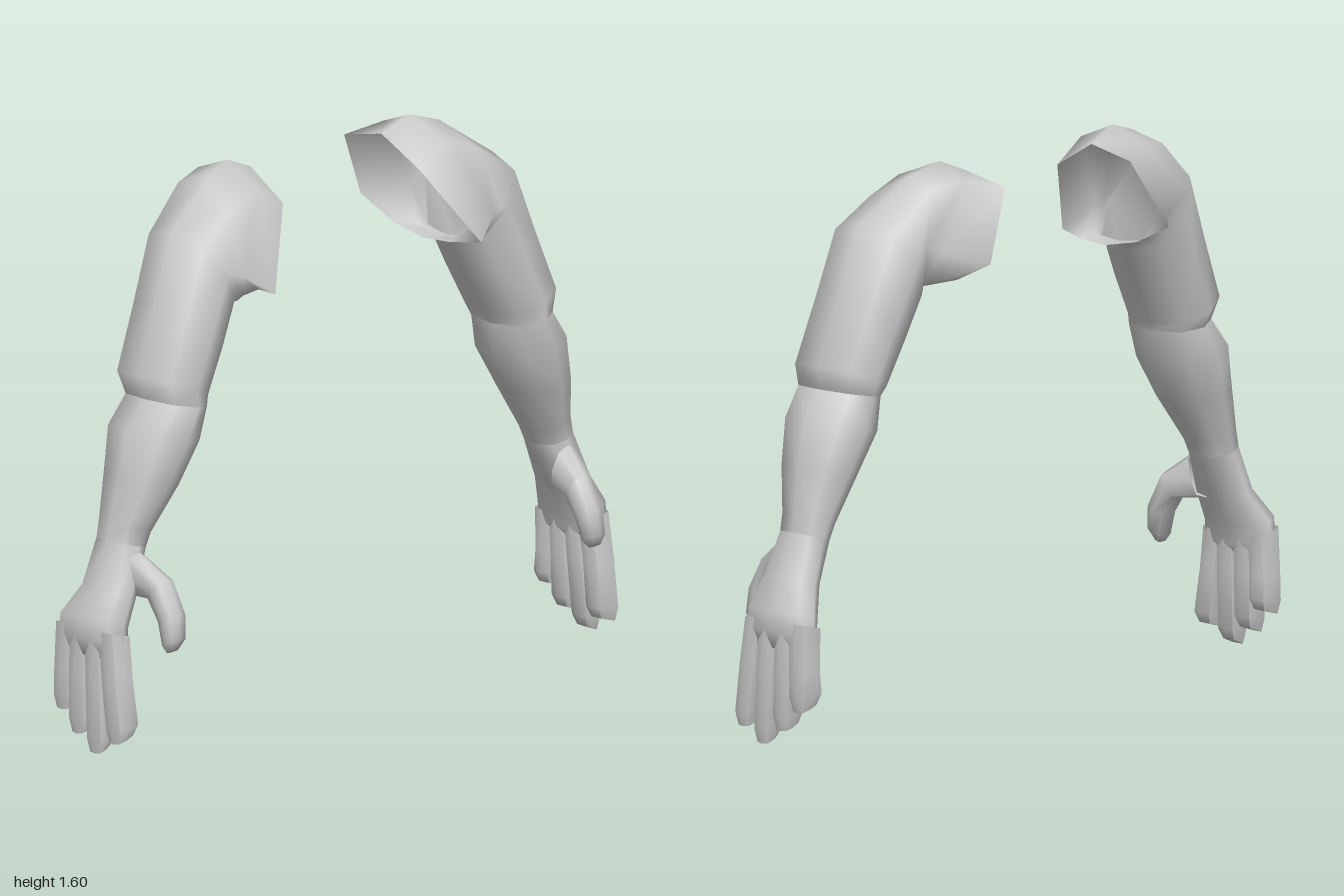
import * as THREE from 'three';
import { toCreasedNormals } from 'three/addons/utils/BufferGeometryUtils.js';

const SIDES = 8;
const material = new THREE.MeshStandardMaterial({ color: 0xcccccc, side: THREE.DoubleSide });

// Cross-section from its outer (ox, oy) and inner (ix, iy) points and its front / back z.
// p below 1 makes it boxier; tilt raises the front and lowers the back.
function ring(ox, oy, ix, iy, zf, zb, p = 1, tilt = 0) {
  const soft = (v) => Math.sign(v) * Math.abs(v) ** p;
  return Array.from({ length: SIDES }, (_, i) => {
    const a = (i / SIDES) * Math.PI * 2;
    const c = soft(Math.cos(a)), s = soft(Math.sin(a));
    return [
      (ox + ix) / 2 + (c * (ox - ix)) / 2,
      (oy + iy) / 2 + (c * (oy - iy)) / 2 + s * tilt,
      (zf + zb) / 2 + (s * (zf - zb)) / 2,
    ];
  });
}

// Skin over a row of cross-sections, optionally closed at the far end.
function loft(rings, side, capped, crease) {
  const pos = [], index = [];
  const tri = (a, b, c) => (side > 0 ? index.push(a, b, c) : index.push(a, c, b));
  rings.flat().forEach(([x, y, z]) => pos.push(x * side, y, z));
  for (let i = 0; i < rings.length - 1; i++) {
    for (let j = 0; j < SIDES; j++) {
      const a = i * SIDES + j, b = i * SIDES + ((j + 1) % SIDES);
      tri(a, b, a + SIDES);
      tri(b, b + SIDES, a + SIDES);
    }
  }
  if (capped) {
    const first = (rings.length - 1) * SIDES;
    for (let j = 1; j < SIDES - 1; j++) tri(first, first + j, first + j + 1);
  }
  const geo = new THREE.BufferGeometry();
  geo.setAttribute('position', new THREE.Float32BufferAttribute(pos, 3));
  geo.setIndex(index);
  geo.computeVertexNormals();
  return crease ? toCreasedNormals(geo, crease) : geo;
}

// Open shoulder rim and the two sections next to it, from the top round by the front.
const shoulderRings = [
  [[0.26, 1.56, -0.05], [0.27, 1.48, 0.09], [0.41, 1.26, 0.2], [0.378, 1.25, 0.1],
    [0.375, 1.245, 0], [0.375, 1.27, -0.12], [0.37, 1.33, -0.245], [0.26, 1.53, -0.2]],
  [[0.36, 1.6, -0.04], [0.38, 1.545, 0.1], [0.5, 1.32, 0.16], [0.46, 1.25, 0.12],
    [0.45, 1.245, 0.02], [0.44, 1.26, -0.08], [0.47, 1.36, -0.15], [0.37, 1.56, -0.15]],
  [[0.46, 1.57, -0.02], [0.5, 1.5, 0.1], [0.54, 1.33, 0.155], [0.48, 1.24, 0.12],
    [0.46, 1.235, 0.02], [0.46, 1.26, -0.07], [0.54, 1.4, -0.16], [0.48, 1.54, -0.12]],
];
const elbow = ring(0.77, 0.99, 0.605, 0.96, 0.175, -0.09, 0.8);
const wrist = ring(0.905, 0.6, 0.795, 0.57, 0.1, -0.05, 0.8);

const arm = {
  upperArm: [
    ...shoulderRings,
    ring(0.64, 1.45, 0.475, 1.21, 0.16, -0.135, 0.85),
    ring(0.715, 1.25, 0.525, 1.11, 0.165, -0.12, 0.8),
    ring(0.79, 1.06, 0.595, 0.985, 0.175, -0.11, 0.8),
    elbow,
  ],
  forearm: [
    elbow,
    ring(0.84, 0.91, 0.62, 0.86, 0.175, -0.105, 0.9),
    ring(0.87, 0.78, 0.69, 0.74, 0.15, -0.08, 0.9),
    ring(0.895, 0.65, 0.775, 0.61, 0.105, -0.055, 0.85),
    wrist,
  ],
  palm: [
    wrist,
    ring(0.95, 0.47, 0.85, 0.45, 0.12, -0.06, 0.7),
    ring(0.998, 0.39, 0.9, 0.36, 0.135, -0.1, 0.6),
    ring(0.998, 0.33, 0.912, 0.3, 0.138, -0.102, 0.5),
    ring(0.99, 0.28, 0.925, 0.28, 0.13, -0.095, 0.5),
  ],
  thumb: [
    ring(0.9, 0.51, 0.81, 0.5, 0.1, 0.06, 0.8, 0.065),
    ring(0.87, 0.47, 0.79, 0.465, 0.19, 0.135, 0.8, 0.035),
    ring(0.87, 0.395, 0.79, 0.39, 0.24, 0.175, 0.8, 0.015),
    ring(0.87, 0.325, 0.8, 0.325, 0.248, 0.195, 0.8, 0.012),
    ring(0.86, 0.3, 0.82, 0.3, 0.232, 0.212, 0.8, 0.006),
  ],
};

// Fingers: base z, tip z, tip height, inner x at the tip
const fingers = {
  indexFinger: [0.1, 0.135, 0.04, 0.915],
  middleFinger: [0.045, 0.06, 0.0, 0.935],
  ringFinger: [-0.015, -0.012, 0.045, 0.925],
  littleFinger: [-0.07, -0.075, 0.105, 0.915],
};

function fingerRings([zBase, zTip, y, inner]) {
  const r = 0.034, zMid = (zBase + zTip) / 2;
  return [
    ring(0.995, 0.36, 0.91, 0.34, zBase + r, zBase - r, 0.6),
    ring(1.0, 0.22, 0.915, 0.22, zMid + r, zMid - r, 0.6),
    ring(1.0, y + 0.04, inner - 0.005, y + 0.05, zTip + r, zTip - r, 0.6),
    ring(0.993, y, inner + 0.01, y + 0.02, zTip + 0.024, zTip - 0.024, 0.6),
  ];
}

export function createModel() {
  const model = new THREE.Group();
  model.name = 'arms';
  for (const side of [1, -1]) {
    const group = new THREE.Group();
    group.name = side > 0 ? 'leftArm' : 'rightArm';
    const add = (name, rings, capped, crease) => {
      const mesh = new THREE.Mesh(loft(rings, side, capped, crease), material);
      mesh.name = name;
      group.add(mesh);
    };
    for (const [name, rings] of Object.entries(arm)) {
      add(name, rings, name === 'palm' || name === 'thumb', name === 'thumb' ? 1.1 : 0);
    }
    for (const [name, spec] of Object.entries(fingers)) add(name, fingerRings(spec), true, 0.9);
    model.add(group);
  }
  return model;
}
